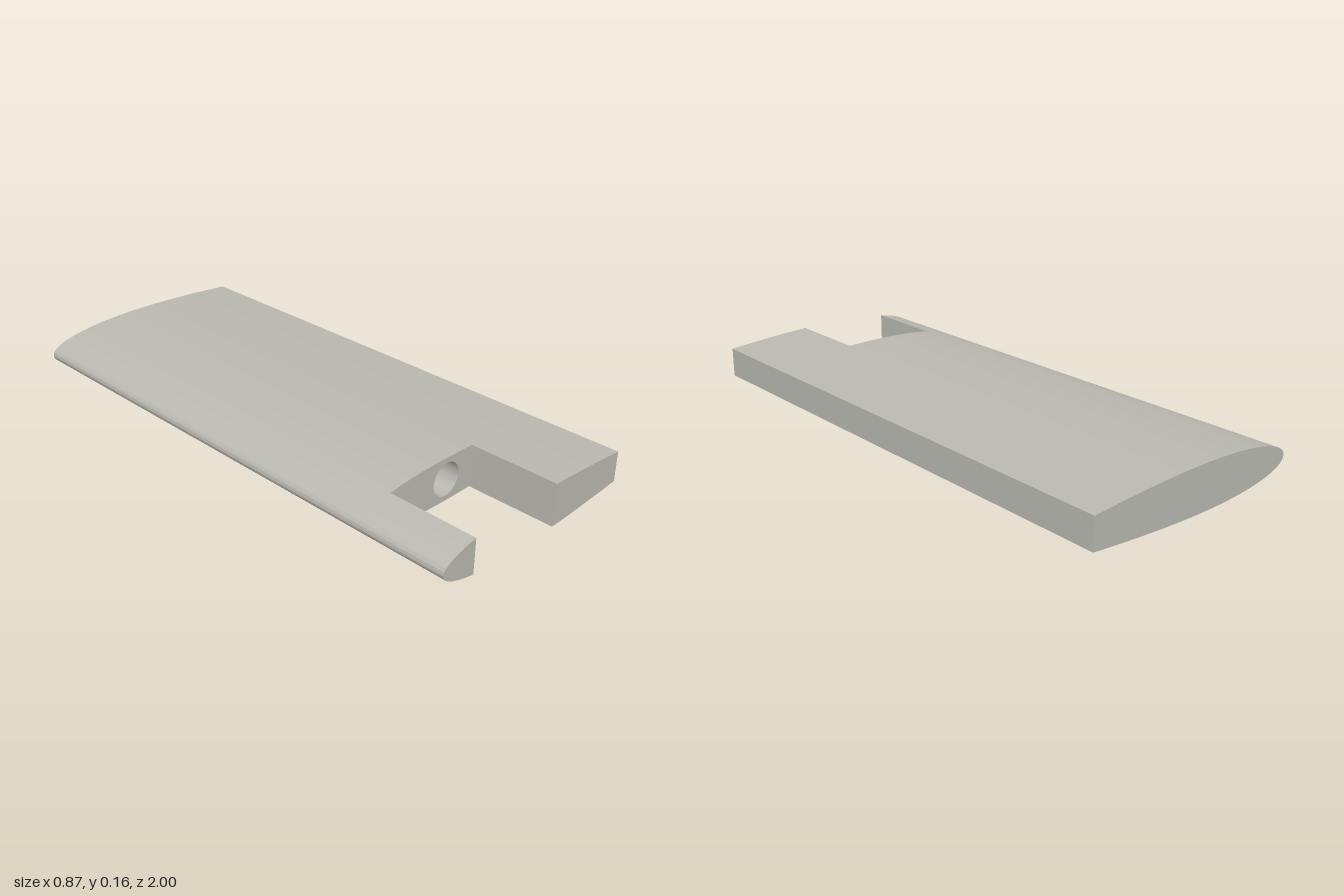
import * as THREE from 'three';
import { mergeGeometries, toCreasedNormals } from 'three/addons/utils/BufferGeometryUtils.js';

const NOSE = -0.433, TAIL = 0.433, CHORD = 1.34, MID_Y = 0.081;
const SLOT_LEFT = -0.295, SLOT_RIGHT = 0.093;
const BACK = -1, SLOT_Z = 0.67, FRONT = 1;
const BORE_X = -0.03, BORE_R = 0.061, BORE_FLOOR = 0.3;

// Half thickness of a symmetric 12% airfoil
function halfThickness(x) {
  const t = Math.max(0, (x - NOSE) / CHORD);
  return 0.6 * CHORD * (0.2969 * Math.sqrt(t) - 0.126 * t - 0.3516 * t ** 2 + 0.2843 * t ** 3 - 0.1015 * t ** 4);
}

// Stations shared by every section, packed closer at the nose
const stations = [SLOT_LEFT, SLOT_RIGHT];
for (let i = 0; i <= 64; i++) stations.push(NOSE + (TAIL - NOSE) * (i / 64) ** 2);
stations.sort((a, b) => a - b);

// Counter-clockwise outline of the airfoil between two x positions
function outline(x0, x1) {
  const xs = stations.filter((x) => x >= x0 - 1e-6 && x <= x1 + 1e-6);
  const lower = xs.map((x) => new THREE.Vector2(x, MID_Y - halfThickness(x)));
  const upper = xs.map((x) => new THREE.Vector2(x, MID_Y + halfThickness(x))).reverse();
  if (x0 === NOSE) upper.pop();
  return [...lower, ...upper];
}

// Side surface swept along z; a clockwise outline faces inwards
function walls(points, z0, z1, keep = () => true) {
  const pos = [];
  points.forEach((a, i) => {
    const b = points[(i + 1) % points.length];
    if (!keep(a, b)) return;
    pos.push(a.x, a.y, z0, b.x, b.y, z0, b.x, b.y, z1);
    pos.push(a.x, a.y, z0, b.x, b.y, z1, a.x, a.y, z1);
  });
  const geo = new THREE.BufferGeometry();
  geo.setAttribute('position', new THREE.Float32BufferAttribute(pos, 3));
  return geo;
}

// Flat end face looking to +z, or to -z when flipped
function cap(points, z, flip = false, hole = null) {
  const shape = new THREE.Shape(points);
  if (hole) shape.holes.push(new THREE.Path(hole));
  const geo = new THREE.ShapeGeometry(shape);
  if (flip) geo.index.array.reverse();
  geo.translate(0, 0, z);
  geo.deleteAttribute('uv');
  geo.deleteAttribute('normal');
  return geo.toNonIndexed();
}

export function createModel() {
  const group = new THREE.Group();
  group.name = 'wingSection';
  const material = new THREE.MeshStandardMaterial({ color: 0xb8b8b0 });
  material.name = 'warm grey';

  const add = (name, parts) => {
    const mesh = new THREE.Mesh(toCreasedNormals(mergeGeometries(parts), 0.5), material);
    mesh.name = name;
    group.add(mesh);
  };

  const circle = [];
  for (let i = 0; i < 48; i++) {
    const a = -i / 48 * Math.PI * 2;
    circle.push(new THREE.Vector2(BORE_X + BORE_R * Math.cos(a), MID_Y + BORE_R * Math.sin(a)));
  }

  // Main body, with the round hole in the slot's end wall
  const full = outline(NOSE, TAIL);
  add('wingBody', [
    walls(full, BACK, SLOT_Z),
    cap(full, BACK, true),
    cap(outline(SLOT_LEFT, SLOT_RIGHT), SLOT_Z, false, circle),
  ]);

  // Blind spar hole
  add('sparHole', [walls(circle, BORE_FLOOR, SLOT_Z), cap(circle, BORE_FLOOR)]);

  // Arms on both sides of the slot
  for (const [name, x0, x1] of [['leadingArm', NOSE, SLOT_LEFT], ['trailingArm', SLOT_RIGHT, TAIL]]) {
    const section = outline(x0, x1);
    add(name, [walls(section, SLOT_Z, FRONT), cap(section, FRONT)]);
  }
  return group;
}
